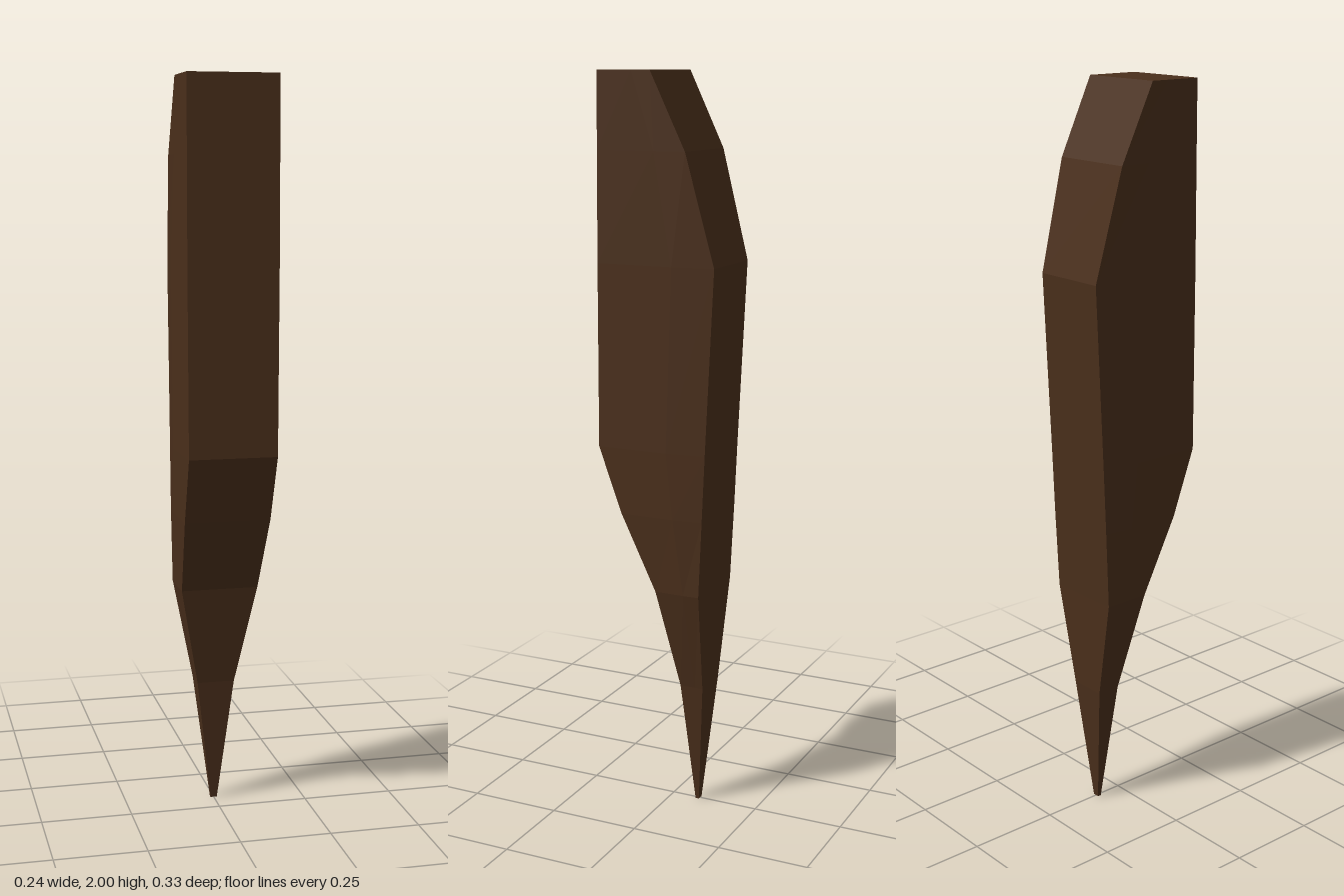
import * as THREE from 'three';

// Cross-sections from tip to top: y, front z, front half-width, back z, back half-width, middle half-width
const SECTIONS = [
  [0, -0.072, 0.009, -0.082, 0.009, 0.009],
  [0.35, -0.045, 0.052, -0.111, 0.052, 0.052],
  [0.63, 0.005, 0.106, -0.122, 0.106, 0.108],
  [0.84, 0.1, 0.117, -0.132, 0.108, 0.118],
  [1.02, 0.165, 0.119, -0.14, 0.108, 0.121],
  [1.51, 0.163, 0.121, -0.164, 0.108, 0.121],
  [1.8, 0.161, 0.121, -0.087, 0.119, 0.121],
  [2, 0.16, 0.121, 0.01, 0.121, 0.121],
];

// Six-cornered ring, counter-clockwise seen from above
function ring([y, zf, wf, zb, wb, wm]) {
  const zm = zb + (zf - zb) * 0.35;
  return [[wf, y, zf], [wm, y, zm], [wb, y, zb], [-wb, y, zb], [-wm, y, zm], [-wf, y, zf]];
}

function loft(sections) {
  const rings = sections.map(ring);
  const n = rings[0].length;
  const index = [];
  for (let i = 0; i < rings.length - 1; i++) {
    for (let j = 0; j < n; j++) {
      const a = i * n + j, b = i * n + (j + 1) % n;
      index.push(a, b, b + n, a, b + n, a + n);
    }
  }
  // End caps
  const top = (rings.length - 1) * n;
  for (let j = 1; j < n - 1; j++) {
    index.push(0, j + 1, j);
    index.push(top, top + j, top + j + 1);
  }
  const geometry = new THREE.BufferGeometry();
  geometry.setAttribute('position', new THREE.Float32BufferAttribute(rings.flat(2), 3));
  geometry.setIndex(index);
  const flat = geometry.toNonIndexed();
  flat.computeVertexNormals();
  return flat;
}

export function createModel() {
  const group = new THREE.Group();
  group.name = 'woodenStake';
  const wood = new THREE.MeshStandardMaterial({ color: 0x4a2f1b, flatShading: true });
  // Tapered shaft with a chamfered top back and a pointed lower end
  const shaft = new THREE.Mesh(loft(SECTIONS), wood);
  shaft.name = 'taperedShaft';
  group.add(shaft);
  return group;
}
